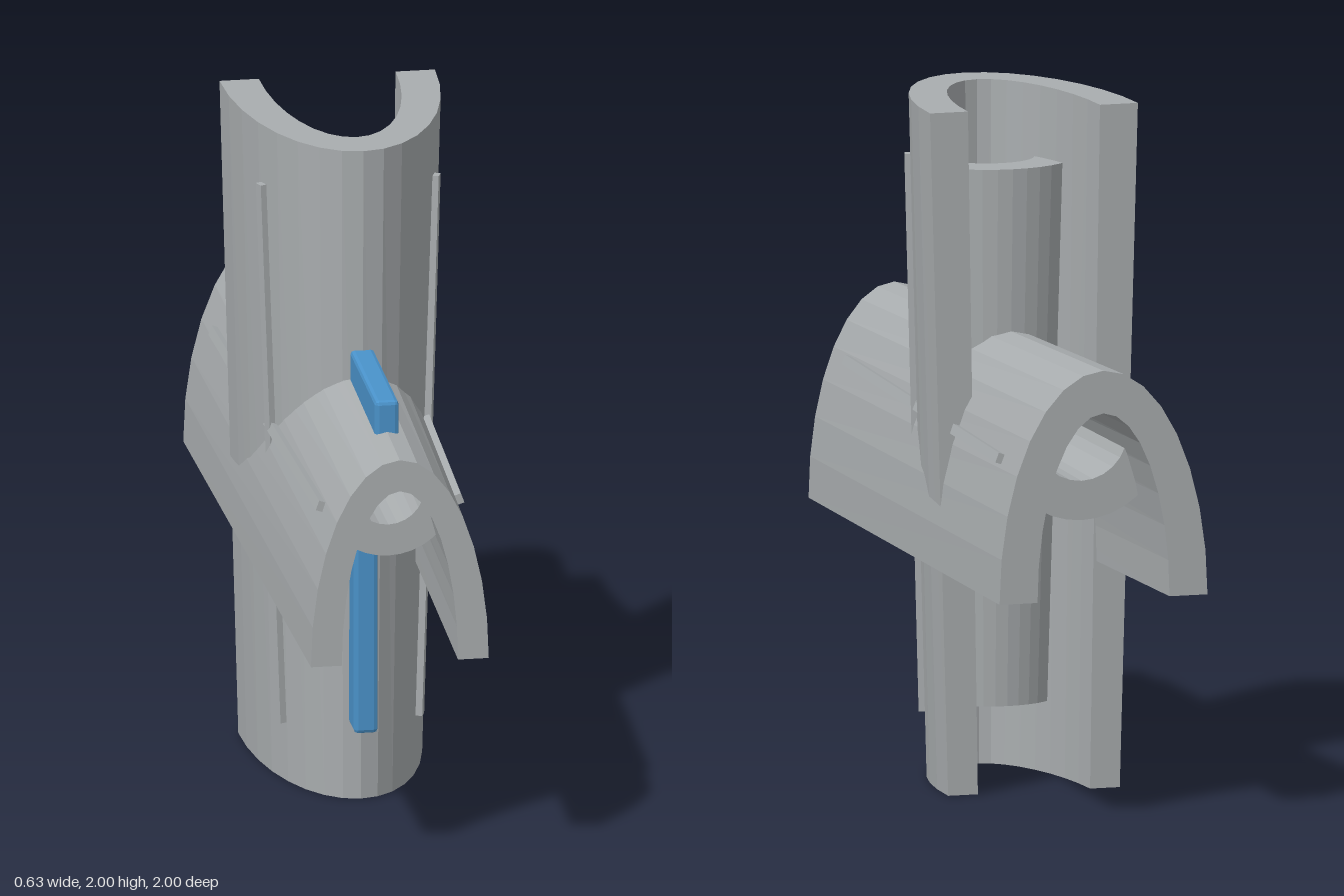
import * as THREE from 'three';
import { RoundedBoxGeometry } from 'three/addons/geometries/RoundedBoxGeometry.js';

const grey = new THREE.MeshStandardMaterial({ color: 0xa9adaf, flatShading: true });
grey.name = 'grey shell';
const blue = new THREE.MeshStandardMaterial({ color: 0x4a93cb, flatShading: true });
blue.name = 'blue key';

const BASE = -0.335; // open side of each channel
const mix = THREE.MathUtils.lerp;

// Thick tapered wall: outer and inner give a point (x, z) for u in 0..1 and height t
function wall(outer, inner, t0, t1, n) {
  const pos = [];
  const quad = (a, b, c, d) => pos.push(...a, ...b, ...c, ...a, ...c, ...d);
  const at = (f, u, t) => { const [x, z] = f(u, t); return [x, t, z]; };
  const column = (i) => ({
    ob: at(outer, i / n, t0), ot: at(outer, i / n, t1),
    ib: at(inner, i / n, t0), it: at(inner, i / n, t1),
  });
  for (let i = 0; i < n; i++) {
    const p = column(i), q = column(i + 1);
    quad(p.ob, p.ot, q.ot, q.ob);
    quad(p.ib, q.ib, q.it, p.it);
    quad(p.ot, p.it, q.it, q.ot);
    quad(p.ob, q.ob, q.ib, p.ib);
  }
  const s = column(0), e = column(n);
  quad(s.ob, s.ib, s.it, s.ot);
  quad(e.ob, e.ot, e.it, e.ib);
  const g = new THREE.BufferGeometry();
  g.setAttribute('position', new THREE.Float32BufferAttribute(pos, 3));
  g.computeVertexNormals();
  return g;
}

// Half ellipse whose semi-axes grow from the narrow end to the wide end
const arch = (w0, w1, h0, h1) => (u, t) => {
  const k = (t + 1) / 2, a = u * Math.PI;
  return [mix(w0, w1, k) * Math.cos(a), BASE + mix(h0, h1, k) * Math.sin(a)];
};

// Circular arc bulging towards the open side
const arc = (r0, r1, half) => (u, t) => {
  const r = mix(r0, r1, (t + 0.79) / 1.58), a = -Math.PI / 2 + (2 * u - 1) * half;
  return [r * Math.cos(a), 0.12 + r * Math.sin(a)];
};

function add(parent, name, geometry, material) {
  const m = new THREE.Mesh(geometry, material);
  m.name = name;
  parent.add(m);
  return m;
}

// One channel along y, closed towards +z and open towards -z
function channel(name) {
  const g = new THREE.Group();
  g.name = name;
  add(g, 'archShell', wall(arch(0.26, 0.315, 0.62, 0.67), arch(0.17, 0.2, 0.525, 0.545), -1, 1, 16), grey);
  add(g, 'innerLip', wall(arc(0.2, 0.255, 1.05), arc(0.105, 0.14, 1.48), -0.79, 0.79, 12), grey);

  // Blue key along the crown
  add(g, 'crownKey', new RoundedBoxGeometry(0.07, 0.7, 0.12, 1, 0.012), blue).position.set(0, -0.418, 0.324);

  // Slim rib on each flank, following the taper
  for (const side of [1, -1]) {
    const low = new THREE.Vector3(side * 0.202, -0.82, 0.092);
    const high = new THREE.Vector3(side * 0.255, 0.82, 0.062);
    const dir = high.clone().sub(low);
    const rib = add(g, side > 0 ? 'leftRib' : 'rightRib', new THREE.BoxGeometry(0.022, dir.length(), 0.03), grey);
    rib.geometry.rotateY(-side * 0.35);
    rib.position.copy(low).add(high).multiplyScalar(0.5);
    rib.quaternion.setFromUnitVectors(new THREE.Vector3(0, 1, 0), dir.normalize());
  }
  g.position.y = 1;
  return g;
}

export function createModel() {
  const model = new THREE.Group();
  model.name = 'crossedChannels';
  const upright = channel('uprightChannel');
  const level = channel('levelChannel');
  level.rotation.x = -Math.PI / 2;
  model.add(upright, level);
  return model;
}
